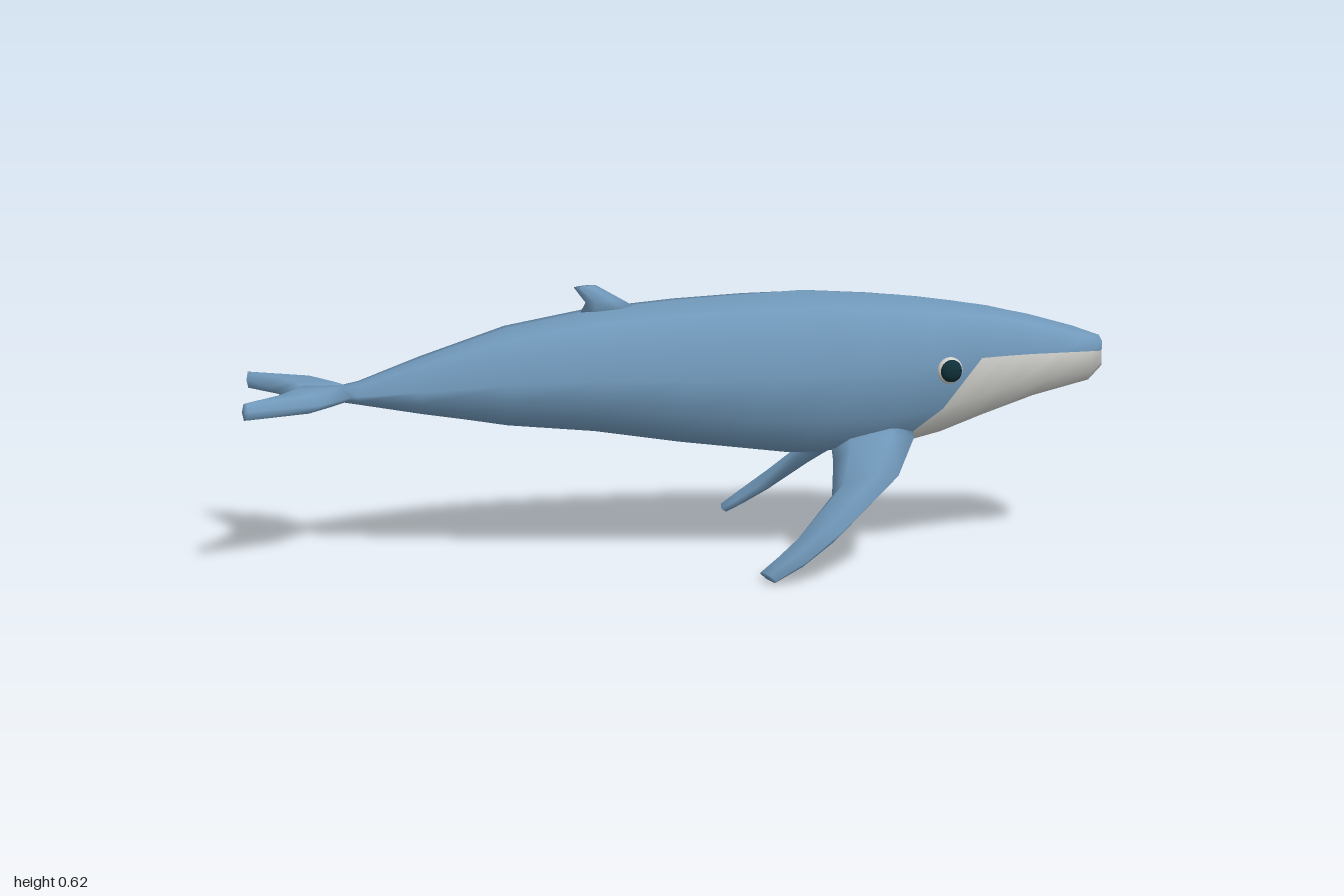
import * as THREE from 'three';

const skin = new THREE.MeshStandardMaterial({ name: 'blueSkin', color: 0x7199bb });
const pale = new THREE.MeshStandardMaterial({ name: 'paleThroat', color: 0xd0d0cc });
const dark = new THREE.MeshStandardMaterial({ name: 'darkEye', color: 0x0f3038 });

const lerp = THREE.MathUtils.lerp;
const V = (p) => new THREE.Vector3(...p);

// Skins closed rings, caps both ends; isPale(j, i) picks the second material
function loft(rings, startTip, endTip, isPale = () => false) {
  const n = rings[0].length;
  const pos = [...rings.flat(), startTip, endTip].flatMap((p) => [p.x, p.y, p.z]);
  const faces = [[], []];
  const start = rings.length * n;
  for (let i = 0; i < rings.length; i++) {
    for (let j = 0; j < n; j++) {
      const k = (j + 1) % n;
      const a = i * n + j, b = i * n + k;
      const out = faces[isPale(j, i) ? 1 : 0];
      if (i === 0) faces[0].push(start, b, a);
      if (i === rings.length - 1) out.push(a, b, start + 1);
      else out.push(a, b, a + n, b, b + n, a + n);
    }
  }
  const geo = new THREE.BufferGeometry();
  geo.setAttribute('position', new THREE.Float32BufferAttribute(pos, 3));
  geo.setIndex([...faces[0], ...faces[1]]);
  geo.addGroup(0, faces[0].length, 0);
  if (faces[1].length) geo.addGroup(faces[0].length, faces[1].length, 1);
  geo.computeVertexNormals();
  return geo;
}

// Fin from sections [leading point, trailing point, half thickness]
function fin(name, sections) {
  const mids = sections.map(([a, b]) => V(a).add(V(b)).multiplyScalar(0.5));
  const outline = [[0, 0], [0.25, 1], [0.75, 1], [1, 0], [0.75, -1], [0.25, -1]];
  const rings = sections.map(([a, b, t], i) => {
    const span = mids[Math.min(i + 1, mids.length - 1)].clone().sub(mids[Math.max(i - 1, 0)]);
    const normal = V(b).sub(V(a)).cross(span).normalize();
    return outline.map(([f, h]) => V(a).lerp(V(b), f).addScaledVector(normal, h * t));
  });
  const mesh = new THREE.Mesh(loft(rings, mids[0], mids[mids.length - 1]), skin);
  mesh.name = name;
  return mesh;
}

// Body profile: x, top, bottom, half width, lip height
const profile = [
  [-0.78, 0.402, 0.366, 0.035, 0.385],
  [-0.74, 0.41, 0.36, 0.05, 0.385],
  [-0.6, 0.462, 0.335, 0.095, 0.4],
  [-0.4, 0.53, 0.302, 0.14, 0.42],
  [-0.2, 0.568, 0.284, 0.165, 0.43],
  [0, 0.588, 0.254, 0.182, 0.43],
  [0.28, 0.606, 0.22, 0.193, 0.43],
  [0.5, 0.592, 0.236, 0.192, 0.44],
  [0.6, 0.58, 0.265, 0.178, 0.45],
  [0.68, 0.569, 0.295, 0.152, 0.464],
  [0.78, 0.552, 0.335, 0.128, 0.466],
  [0.95, 0.502, 0.385, 0.113, 0.468],
  [0.992, 0.487, 0.42, 0.092, 0.465],
];

function sampleProfile(x) {
  let i = 0;
  while (i < profile.length - 2 && x > profile[i + 1][0]) i++;
  const [a, b] = [profile[i], profile[i + 1]];
  const f = (x - a[0]) / (b[0] - a[0]);
  return a.map((v, k) => lerp(v, b[k], f));
}

// Rows from the back ridge to the belly; the fourth value is where the throat colour begins
function bodyPoint(row, station) {
  const border = [0.5, 0.58, 0.68, 0.59, 0.49, 0.32][row];
  let x = station;
  if (station > 0 && station <= 0.5) x = lerp(0, border, station / 0.5);
  else if (station > 0.5 && station < 0.95) x = lerp(border, 0.95, (station - 0.5) / 0.45);
  const [, top, bottom, w, lip] = sampleProfile(x);
  const h = top - bottom;
  const [y, z] = [
    [top, 0], [top - 0.05 * h, 0.72], [lip, 1],
    [bottom + 0.27 * h, 0.86], [bottom + 0.08 * h, 0.65], [bottom, 0],
  ][row];
  if (station > 0.98) x -= 0.018 * z * z;
  return new THREE.Vector3(x, y, z * w);
}

function makeBody() {
  const stations = [-0.78, -0.74, -0.6, -0.4, -0.2, 0, 0.14, 0.28, 0.4, 0.5, 0.6, 0.7, 0.82, 0.95, 0.992];
  const rings = stations.map((s) => {
    const left = [0, 1, 2, 3, 4, 5].map((r) => bodyPoint(r, s));
    const right = [4, 3, 2, 1].map((r) => bodyPoint(r, s).multiply(new THREE.Vector3(1, 1, -1)));
    return [...left, ...right];
  });
  const throat = (j, i) => i >= 9 && j >= 2 && j <= 7;
  const geo = loft(rings, V([-0.79, 0.384, 0]), V([1, 0.465, 0]), throat);
  const mesh = new THREE.Mesh(geo, [skin, pale]);
  mesh.name = 'body';
  return mesh;
}

// Eye: pale rim with a dark ball set in it
function makeEye(name, s) {
  const eye = new THREE.Group();
  eye.name = name;
  const rim = new THREE.Mesh(new THREE.SphereGeometry(0.031, 16, 10), pale);
  rim.name = 'eyeRim';
  rim.scale.z = 0.5;
  const ball = new THREE.Mesh(new THREE.SphereGeometry(0.026, 12, 10), dark);
  ball.name = 'eyeBall';
  ball.scale.z = 0.65;
  ball.position.z = 0.008;
  eye.add(rim, ball);
  eye.position.set(0.6, 0.441, s * 0.176);
  eye.rotation.y = s > 0 ? 0.2 : Math.PI - 0.2;
  return eye;
}

export function createModel() {
  const whale = new THREE.Group();
  whale.name = 'whale';
  whale.add(makeBody());

  whale.add(fin('dorsalFin', [
    [[-0.08, 0.56, 0], [-0.24, 0.545, 0], 0.02],
    [[-0.135, 0.592, 0], [-0.218, 0.585, 0], 0.018],
    [[-0.195, 0.626, 0], [-0.245, 0.621, 0], 0.011],
  ]));

  for (const [side, s] of [['right', -1], ['left', 1]]) {
    whale.add(fin(side + 'Flipper', [
      [[0.53, 0.3, s * 0.1], [0.34, 0.26, s * 0.1], 0.025],
      [[0.52, 0.285, s * 0.17], [0.335, 0.23, s * 0.16], 0.025],
      [[0.46, 0.225, s * 0.3], [0.32, 0.168, s * 0.235], 0.024],
      [[0.32, 0.118, s * 0.38], [0.22, 0.07, s * 0.3], 0.019],
      [[0.24, 0.058, s * 0.4], [0.175, 0.038, s * 0.318], 0.016],
      [[0.17, 0.012, s * 0.392], [0.142, 0.016, s * 0.33], 0.012],
    ]));
    whale.add(fin(side + 'Fluke', [
      [[-0.72, 0.385, 0], [-0.92, 0.385, 0], 0.02],
      [[-0.755, 0.385, s * 0.05], [-0.93, 0.385, s * 0.05], 0.02],
      [[-0.82, 0.385, s * 0.14], [-0.952, 0.385, s * 0.105], 0.02],
      [[-0.985, 0.385, s * 0.203], [-1, 0.385, s * 0.205], 0.019],
    ]));
    whale.add(makeEye(side + 'Eye', s));
  }
  return whale;
}
